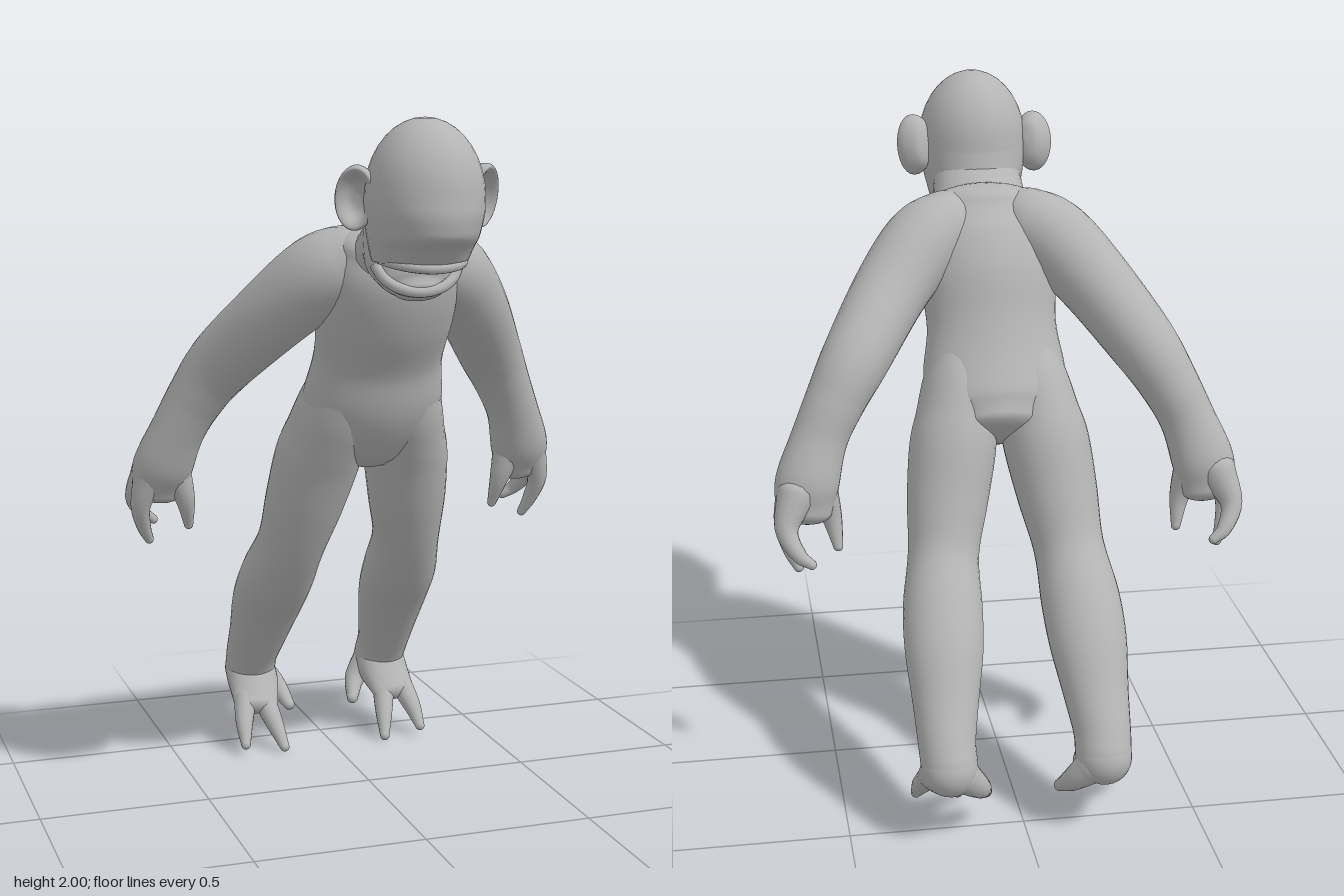
import * as THREE from 'three';

const skin = new THREE.MeshStandardMaterial({ color: 0xb4b4b4 });
skin.name = 'grey skin';

// Smooth limb through sections [x, y, z, side radius, depth radius].
// caps: how far the rounded start and end bulge; dir, if given, fixes the direction all rings face.
function loft(name, sections, { caps = [1, 1], sides = 28, steps = 6, dir = null } = {}) {
  const path = new THREE.CatmullRomCurve3(
    sections.map(s => new THREE.Vector3(s[0], s[1], s[2])), false, 'catmullrom', 0.5);
  const radii = new THREE.CatmullRomCurve3(
    sections.map(s => new THREE.Vector3(s[3], s[4] ?? s[3], 0)), false, 'catmullrom', 0.5);
  const n = (sections.length - 1) * steps, capSteps = 9;
  const rings = [];
  const addRing = (t, shrink, push) => {
    const r = radii.getPoint(t);
    const tangent = dir ? dir.clone() : path.getTangent(t);
    const centre = path.getPoint(t).addScaledVector(tangent, push * Math.min(r.x, r.y));
    rings.push({ centre, tangent, rx: r.x * shrink, rv: r.y * shrink });
  };
  for (let i = 0; i < capSteps; i++) {
    const a = (i / capSteps) * Math.PI / 2;
    addRing(0, Math.max(Math.sin(a), 0.002), -Math.cos(a) * caps[0]);
  }
  for (let i = 0; i <= n; i++) addRing(i / n, 1, 0);
  for (let i = capSteps - 1; i >= 0; i--) {
    const a = (i / capSteps) * Math.PI / 2;
    addRing(1, Math.max(Math.sin(a), 0.002), Math.cos(a) * caps[1]);
  }
  const positions = [], index = [];
  rings.forEach(({ centre, tangent, rx, rv }, i) => {
    const u = new THREE.Vector3(1, 0, 0).addScaledVector(tangent, -tangent.x).normalize();
    const v = tangent.clone().cross(u);
    for (let j = 0; j < sides; j++) {
      const a = (j / sides) * Math.PI * 2;
      const p = centre.clone().addScaledVector(u, Math.cos(a) * rx).addScaledVector(v, Math.sin(a) * rv);
      positions.push(p.x, p.y, p.z);
      if (i === rings.length - 1) continue;
      const k = (j + 1) % sides, lo = i * sides, hi = lo + sides;
      index.push(lo + j, lo + k, hi + k, lo + j, hi + k, hi + j);
    }
  });
  const geometry = new THREE.BufferGeometry();
  geometry.setAttribute('position', new THREE.Float32BufferAttribute(positions, 3));
  geometry.setIndex(index);
  geometry.computeVertexNormals();
  const mesh = new THREE.Mesh(geometry, skin);
  mesh.name = name;
  return mesh;
}

// Lip: a curved tube, mirrored across the middle from half its points
function lip(name, half, radius) {
  const right = half.slice(0, -1).map(p => [-p[0], p[1], p[2]]).reverse();
  const points = [...half, ...right].map(p => new THREE.Vector3(...p));
  const tube = new THREE.TubeGeometry(new THREE.CatmullRomCurve3(points), 32, radius, 10);
  const mesh = new THREE.Mesh(tube, skin);
  mesh.name = name;
  return mesh;
}

// Cupped ear with a thick rounded rim
function ear(side) {
  const profile = [[0, -0.045], [0.05, -0.036], [0.078, -0.008], [0.086, 0.016], [0.08, 0.03],
    [0.066, 0.022], [0.04, -0.008], [0, -0.016]].map(p => new THREE.Vector2(...p));
  const geometry = new THREE.LatheGeometry(new THREE.SplineCurve(profile).getPoints(28), 32);
  geometry.rotateX(Math.PI / 2).scale(0.66, 1.04, 1);
  geometry.rotateY(side * 0.6).rotateX(0.25);
  const mesh = new THREE.Mesh(geometry, skin);
  mesh.position.set(side * 0.172, 1.792, 0.412);
  mesh.name = side > 0 ? 'leftEar' : 'rightEar';
  return mesh;
}

export function createModel() {
  const model = new THREE.Group();
  model.name = 'leaningApe';

  // Trunk and neck
  model.add(loft('torso', [
    [0, 1.64, 0.23, 0.17, 0.113], [0, 1.56, 0.2, 0.195, 0.148], [0, 1.45, 0.143, 0.2, 0.158],
    [0, 1.32, 0.083, 0.19, 0.141], [0, 1.2, 0.035, 0.208, 0.148], [0, 1.11, -0.025, 0.2, 0.142],
    [0, 1.06, -0.065, 0.15, 0.122],
  ], { caps: [0.6, 0.35], sides: 40 }));
  model.add(loft('neck', [
    [0, 1.55, 0.18, 0.15, 0.1], [0, 1.655, 0.315, 0.135, 0.097], [0, 1.74, 0.41, 0.125, 0.09],
  ], { caps: [0.5, 0.3] }));

  // Head: level rings, a domed crown above and the upper jaw below
  const head = new THREE.Group();
  head.name = 'head';
  head.add(loft('skull', [
    [0, 1.79, 0.46, 0.16, 0.179], [0, 1.75, 0.457, 0.158, 0.186], [0, 1.715, 0.45, 0.152, 0.189],
    [0, 1.685, 0.444, 0.146, 0.184], [0, 1.655, 0.433, 0.139, 0.157], [0, 1.62, 0.425, 0.13, 0.134],
  ], { caps: [1.31, 0.08], sides: 40, dir: new THREE.Vector3(0, -1, 0) }));
  head.add(loft('lowerJaw', [
    [0, 1.69, 0.34, 0.132, 0.09], [0, 1.61, 0.37, 0.134, 0.077], [0, 1.56, 0.4, 0.105, 0.054],
    [0, 1.537, 0.42, 0.072, 0.038],
  ], { caps: [0.5, 0.6] }));
  head.add(lip('upperLip', [
    [0.115, 1.625, 0.43], [0.097, 1.618, 0.495], [0.057, 1.61, 0.535], [0, 1.606, 0.548]], 0.014));
  head.add(lip('lowerLip', [
    [0.122, 1.61, 0.405], [0.1, 1.572, 0.422], [0.058, 1.545, 0.44], [0, 1.535, 0.447]], 0.015));
  head.add(ear(1), ear(-1));
  model.add(head);

  for (const side of [1, -1]) {
    const label = side > 0 ? 'left' : 'right';
    const limb = (name, sections, options) => loft(label + name,
      sections.map(([x, ...rest]) => [x * side, ...rest]), options);

    // Arm and hand
    const arm = new THREE.Group();
    arm.name = label + 'ArmGroup';
    arm.add(limb('Arm', [
      [0.08, 1.595, 0.2, 0.09, 0.1], [0.13, 1.588, 0.175, 0.108, 0.113], [0.2, 1.55, 0.135, 0.116, 0.12],
      [0.3, 1.445, 0.045, 0.108, 0.11], [0.415, 1.295, -0.095, 0.097, 0.1], [0.48, 1.19, -0.147, 0.085, 0.086],
      [0.53, 1.09, -0.178, 0.08, 0.076], [0.57, 0.975, -0.215, 0.09, 0.074], [0.582, 0.9, -0.236, 0.078, 0.05],
    ], { caps: [1, 0.8] }));
    const digit = { sides: 14, steps: 5 };
    arm.add(limb('OuterFinger', [[0.61, 0.95, -0.215, 0.05], [0.637, 0.86, -0.225, 0.031],
      [0.625, 0.79, -0.25, 0.022], [0.605, 0.742, -0.268, 0.014]], digit));
    arm.add(limb('BackFinger', [[0.605, 0.95, -0.25, 0.055], [0.636, 0.87, -0.297, 0.033],
      [0.608, 0.81, -0.338, 0.022], [0.573, 0.783, -0.352, 0.014]], digit));
    arm.add(limb('Thumb', [[0.535, 0.96, -0.215, 0.05], [0.505, 0.87, -0.214, 0.03],
      [0.49, 0.785, -0.238, 0.014]], digit));
    model.add(arm);

    // Leg, its upper end fading into the trunk
    const leg = new THREE.Group();
    leg.name = label + 'LegGroup';
    leg.add(limb('Leg', [
      [0.09, 1.27, 0.07, 0.085, 0.11], [0.103, 1.17, 0.018, 0.109, 0.13], [0.122, 1.08, -0.028, 0.117, 0.132],
      [0.138, 1.0, -0.067, 0.126, 0.129], [0.162, 0.86, -0.122, 0.118, 0.117], [0.184, 0.72, -0.19, 0.103, 0.105],
      [0.2, 0.6, -0.285, 0.114, 0.108], [0.208, 0.5, -0.37, 0.112, 0.1], [0.216, 0.38, -0.452, 0.094, 0.088],
      [0.222, 0.29, -0.515, 0.082, 0.083], [0.22, 0.235, -0.548, 0.08, 0.083],
    ], { sides: 32 }));

    // Foot and toes
    leg.add(limb('Foot', [[0.22, 0.225, -0.555, 0.08, 0.08], [0.222, 0.185, -0.505, 0.08, 0.063],
      [0.232, 0.135, -0.435, 0.07, 0.034]], { caps: [1, 0.8] }));
    leg.add(limb('OuterToe', [[0.262, 0.152, -0.458, 0.037], [0.282, 0.092, -0.398, 0.028],
      [0.292, 0.035, -0.345, 0.015]], digit));
    leg.add(limb('InnerToe', [[0.205, 0.152, -0.458, 0.037], [0.185, 0.082, -0.393, 0.028],
      [0.168, 0.018, -0.335, 0.015]], digit));
    leg.add(limb('BigToe', [[0.185, 0.205, -0.565, 0.052], [0.136, 0.155, -0.545, 0.034],
      [0.108, 0.105, -0.488, 0.018]], digit));
    model.add(leg);
  }
  return model;
}
